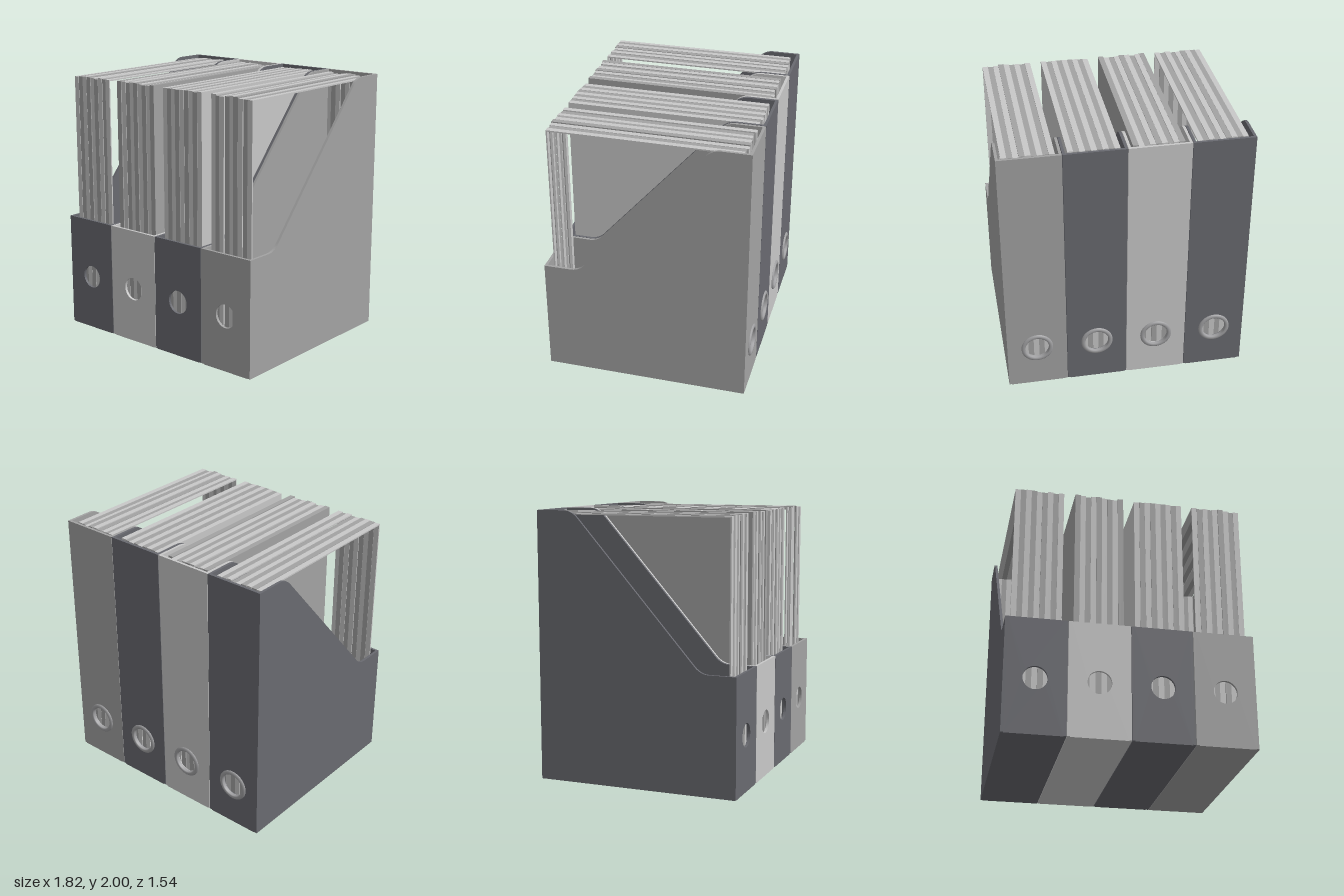
import * as THREE from 'three';

const mat = (name, color, extra = {}) => {
  const m = new THREE.MeshStandardMaterial({ color, ...extra });
  m.name = name;
  return m;
};

const W = 0.452, PITCH = 0.4555, T = 0.02;   // file width, spacing, wall thickness
const BACK = -0.76, FRONT = 0.77;

function add(parent, name, geometry, material) {
  const mesh = new THREE.Mesh(geometry, material);
  mesh.name = name;
  parent.add(mesh);
  return mesh;
}

// Extrudes a (z, y) outline along x, centred on x
function extrudeAcross(shape, width, x) {
  return new THREE.ExtrudeGeometry(shape, { depth: width, bevelEnabled: false, curveSegments: 8 })
    .rotateY(-Math.PI / 2).translate(x + width / 2, 0, 0);
}

// Upright panel facing z with a round finger hole
function holedPanel(height, holeY, holeR, z) {
  const w = W / 2 - T;
  const s = new THREE.Shape();
  s.moveTo(-w, 0).lineTo(w, 0).lineTo(w, height).lineTo(-w, height).closePath();
  s.holes.push(new THREE.Path().absarc(0, holeY, holeR, 0, Math.PI * 2, true));
  return new THREE.ExtrudeGeometry(s, { depth: T, bevelEnabled: false, curveSegments: 24 })
    .translate(0, 0, z);
}

// Sloping side wall
function sideShape() {
  const s = new THREE.Shape();
  s.moveTo(BACK, 0.005).lineTo(BACK + 0.005, 0).lineTo(FRONT - 0.005, 0).lineTo(FRONT, 0.005);
  s.lineTo(FRONT, 0.88).lineTo(0.57, 0.88);
  s.quadraticCurveTo(0.505, 0.88, 0.46, 0.93);
  s.lineTo(-0.44, 1.95);
  s.quadraticCurveTo(-0.487, 2, -0.55, 2);
  s.lineTo(BACK, 2).closePath();
  return s;
}

// One magazine: a solid slab, or an open arch when only its edges are covered
function pageShape(z0, z1, top, open) {
  const y0 = 0.03, t = 0.01;
  const s = new THREE.Shape();
  s.moveTo(z0, y0);
  if (open) {
    s.lineTo(z0 + t, y0).lineTo(z0 + t, top - t).lineTo(z1 - t, top - t).lineTo(z1 - t, y0);
  }
  s.lineTo(z1, y0).lineTo(z1, top).lineTo(z0, top).closePath();
  return s;
}

// Raised ring around the rear finger hole
function ringGeometry() {
  const profile = [[0.09, -0.015], [0.09, 0.008], [0.097, 0.013], [0.11, 0.013], [0.12, 0.006], [0.12, 0]]
    .map(([r, y]) => new THREE.Vector2(r, y));
  return new THREE.LatheGeometry(profile, 40).rotateX(-Math.PI / 2);
}

export function createModel() {
  const model = new THREE.Group();
  model.name = 'magazineFiles';
  const charcoal = mat('charcoal', 0x696a70);
  const light = mat('light grey', 0xc8c8c8);
  const grey = mat('mid grey', 0xa3a3a3);
  const ringGrey = mat('ring grey', 0xa0a0a2, { side: THREE.DoubleSide });

  let seed = 7;
  const rand = () => (seed = (seed * 16807) % 2147483647) / 2147483647;

  const files = [
    { body: charcoal, open: true, first: 0 },
    { body: light, open: false, first: 1 },
    { body: charcoal, open: false, first: 0 },
    { body: grey, open: true, first: 0 },
  ];

  files.forEach(({ body, open, first }, i) => {
    const file = new THREE.Group();
    file.name = 'file' + (i + 1);
    file.position.x = (i - 1.5) * PITCH;
    model.add(file);

    // Holder walls
    for (const side of [-1, 1]) {
      add(file, side > 0 ? 'leftWall' : 'rightWall',
        extrudeAcross(sideShape(), T, side * (W - T) / 2), body);
    }
    add(file, 'frontWall', holedPanel(0.88, 0.42, 0.088, FRONT - T), body);
    add(file, 'backWall', holedPanel(2, 0.34, 0.092, BACK), body);
    add(file, 'floor', new THREE.BoxGeometry(W - 2 * T, T, FRONT - BACK - 2 * T)
      .translate(0, T / 2, (FRONT + BACK) / 2), body);
    add(file, 'fingerRing', ringGeometry(), ringGrey).position.set(0, 0.34, BACK);

    // Magazines of slightly different lengths and heights
    const magazines = new THREE.Group();
    magazines.name = 'magazines';
    file.add(magazines);
    const count = 9, width = 0.37 / count;
    for (let k = 0; k < count; k++) {
      const z0 = -0.695 - rand() * 0.017, z1 = 0.7 + rand() * 0.014;
      const shape = pageShape(z0, z1, 1.975 + rand() * 0.014, open);
      add(magazines, 'magazine' + (k + 1),
        extrudeAcross(shape, width, (k - (count - 1) / 2) * width),
        (k + first) % 2 ? grey : light);
    }
  });
  return model;
}
